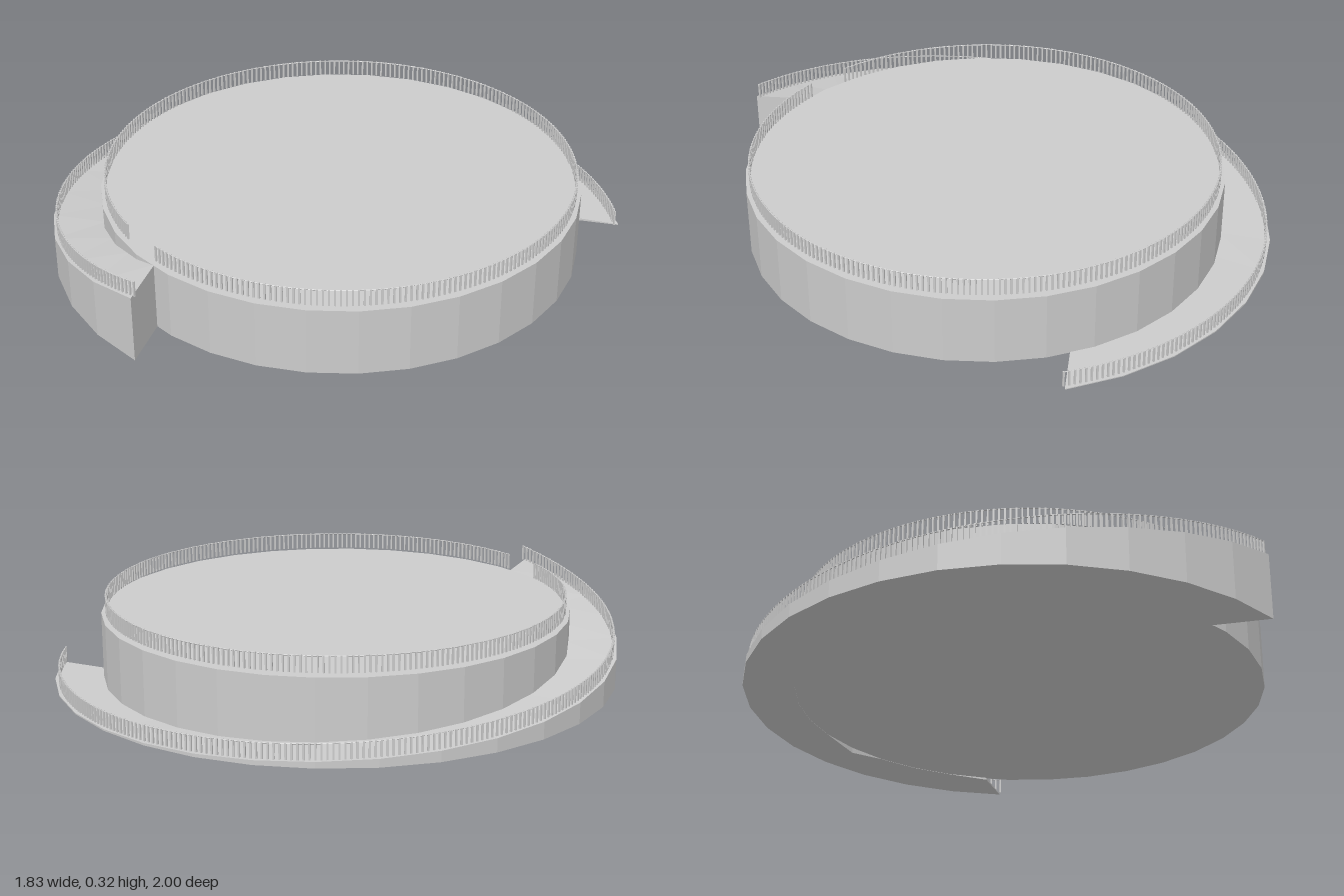
import * as THREE from 'three';
import { mergeGeometries } from 'three/addons/utils/BufferGeometryUtils.js';

const CX = 0.085, BASE = 0.025, TOP = 0.258, SEG = 20;
const rad = THREE.MathUtils.degToRad;

// Angle in degrees, measured from the front (+z) round towards -x
const polar = (deg, r, y) =>
  new THREE.Vector3(CX - r * Math.sin(rad(deg)), y, r * Math.cos(rad(deg)));

// Height of the ramp surface, t = 0 at the front (high) end, 1 at the back
const rampHeight = t => 0.027 + (TOP - 0.027) * Math.pow(1 - t, 2.75);

// Curved ramp: four-cornered sections swept round the disc, with closed ends
function rampGeometry() {
  const pos = [];
  const dip = { 16: 0.02, 20: 0.008 };          // low spots under the inner edge
  const section = i => {
    const t = i / SEG, y = rampHeight(t);
    const inner = -6 + 214 * t, outer = -12 + 225 * t;
    return [
      polar(inner, 0.82, y), polar(outer, 1.0, y),
      polar(outer, 1.0, BASE - 0.001), polar(inner, 0.82, BASE - (dip[i] || 0.001)),
    ];
  };
  const quad = (a, b, c, d) => {
    for (const p of [a, b, c, a, c, d]) pos.push(p.x, p.y, p.z);
  };
  for (let i = 0; i < SEG; i++) {
    const a = section(i), b = section(i + 1);
    for (let k = 0; k < 4; k++) {
      const n = (k + 1) % 4;
      quad(a[k], b[k], b[n], a[n]);
    }
  }
  quad(...section(0));
  quad(...section(SEG).reverse());
  const g = new THREE.BufferGeometry();
  g.setAttribute('position', new THREE.Float32BufferAttribute(pos, 3));
  g.computeVertexNormals();
  return g;
}

// Row of thin posts joined by a fine top rail; foot(t) gives the post base
function fence(name, foot, count, height, material) {
  const group = new THREE.Group();
  group.name = name;
  const posts = [], tops = [];
  for (let i = 0; i <= count; i++) {
    const p = foot(i / count);
    const post = new THREE.BoxGeometry(0.006, height, 0.006);
    post.rotateY(Math.atan2(p.x - CX, p.z));
    post.translate(p.x, p.y + height / 2, p.z);
    posts.push(post);
    tops.push(p.clone().setY(p.y + height - 0.002));
  }
  const postMesh = new THREE.Mesh(mergeGeometries(posts), material);
  postMesh.name = name + 'Posts';
  const rail = new THREE.Mesh(
    new THREE.TubeGeometry(new THREE.CatmullRomCurve3(tops), count, 0.002, 4), material);
  rail.name = name + 'TopRail';
  group.add(postMesh, rail);
  return group;
}

export function createModel() {
  const model = new THREE.Group();
  const flat = new THREE.MeshStandardMaterial({
    color: 0xcccccc, flatShading: true, side: THREE.DoubleSide });

  // Main round platform
  const disc = new THREE.Mesh(
    new THREE.CylinderGeometry(0.83, 0.83, TOP - BASE, 32), flat);
  disc.name = 'platform';
  disc.position.set(CX, (TOP + BASE) / 2, 0);

  // Ramp wrapping round the right-hand side
  const ramp = new THREE.Mesh(rampGeometry(), flat);
  ramp.name = 'ramp';

  // Platform fence leaves a gap where the ramp arrives
  const platformFence = fence('platformFence',
    t => polar(6 + 348 * t, 0.812, 0.268), 270, 0.057, flat);
  const rampFence = fence('rampFence',
    t => polar(-12 + 225 * t, 0.984, rampHeight(t)), 210, 0.055, flat);

  model.add(disc, ramp, platformFence, rampFence);
  return model;
}
